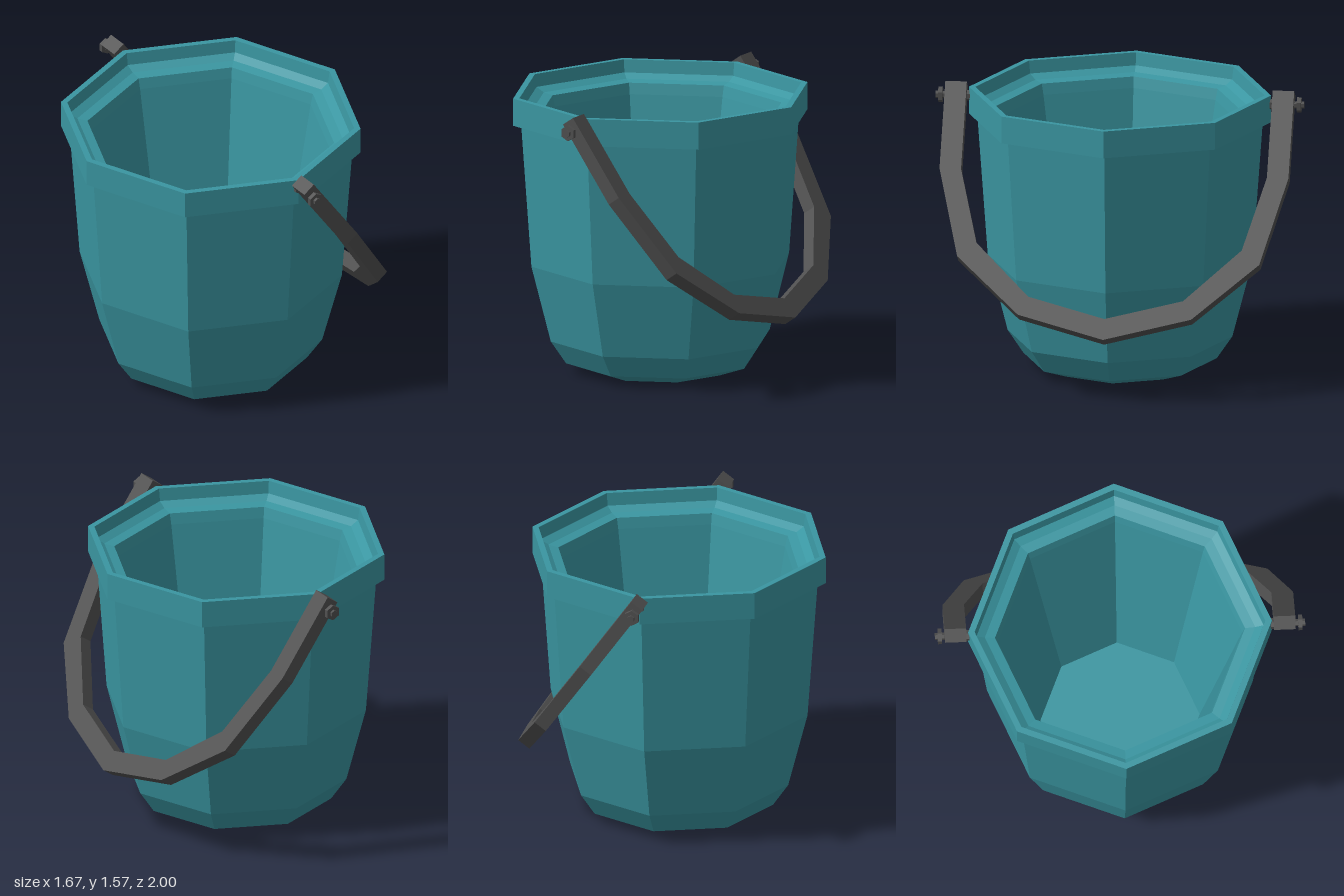
import * as THREE from 'three';

export function createModel() {
  const teal = new THREE.MeshStandardMaterial({ name: 'teal plastic', color: 0x3a96a1, flatShading: true });
  const grey = new THREE.MeshStandardMaterial({ name: 'dark grey metal', color: 0x505050, flatShading: true });
  const model = new THREE.Group();
  model.name = 'bucket';
  const axisX = -0.015;

  const add = (name, geometry, material, parent = model) => {
    const mesh = new THREE.Mesh(geometry, material);
    mesh.name = name;
    parent.add(mesh);
    return mesh;
  };

  // Octagonal body: up the outside, over the lip, down the inside
  const profile = [
    [0, 0], [0.37, 0], [0.525, 0.055], [0.61, 0.18], [0.718, 0.6], [0.775, 1.385],
    [0.82, 1.385], [0.82, 1.535], [0.785, 1.535], [0.775, 1.465], [0.73, 1.44],
    [0.675, 1.43], [0.66, 1.37], [0.43, 0.1], [0, 0.1],
  ].map(([r, y]) => new THREE.Vector2(r, y));
  add('bucketBody', new THREE.LatheGeometry(profile, 8), teal).position.x = axisX;

  // Faceted bail handle: [distance down the swing, half width]
  const outer = [[0, 0.947], [0.5, 0.947], [1.0, 0.82], [1.325, 0.47], [1.455, 0]];
  const inner = [[0, 0.83], [0.5, 0.83], [0.92, 0.72], [1.22, 0.42], [1.335, 0]];
  const mirror = (side) => side.slice(0, -1).reverse().map(([s, z]) => [s, -z]);
  const outline = [...outer, ...mirror(outer), ...[...inner, ...mirror(inner)].reverse()];
  const shape = new THREE.Shape(outline.map(([s, z]) => new THREE.Vector2(s, z)));
  const depth = 0.076;
  const handleGeometry = new THREE.ExtrudeGeometry(shape, { depth, bevelEnabled: false });
  handleGeometry.translate(0, 0, -depth / 2);
  // Tilt the handle so that it hangs to the left
  const down = new THREE.Vector3(0.574, -0.819, 0).normalize();
  const across = new THREE.Vector3(0, 0, 1);
  const through = new THREE.Vector3().crossVectors(down, across);
  handleGeometry.applyMatrix4(new THREE.Matrix4().makeBasis(down, across, through).setPosition(-0.035, 1.545, 0));
  add('handle', handleGeometry, grey);

  // Hexagonal pivot pins at both ends
  for (const side of [1, -1]) {
    const pin = new THREE.Group();
    pin.name = side > 0 ? 'frontPivot' : 'backPivot';
    pin.position.set(axisX, 1.487, 0);
    model.add(pin);
    const hex = (name, radius, from, to) => {
      const geometry = new THREE.CylinderGeometry(radius, radius, to - from, 6).rotateX(Math.PI / 2);
      add(name, geometry, grey, pin).position.z = side * (from + to) / 2;
    };
    hex('pinShaft', 0.02, 0.79, 1.0);
    hex('pinNut', 0.043, 0.962, 0.985);
    hex('pinWasher', 0.03, 0.815, 0.832);
  }
  return model;
}
